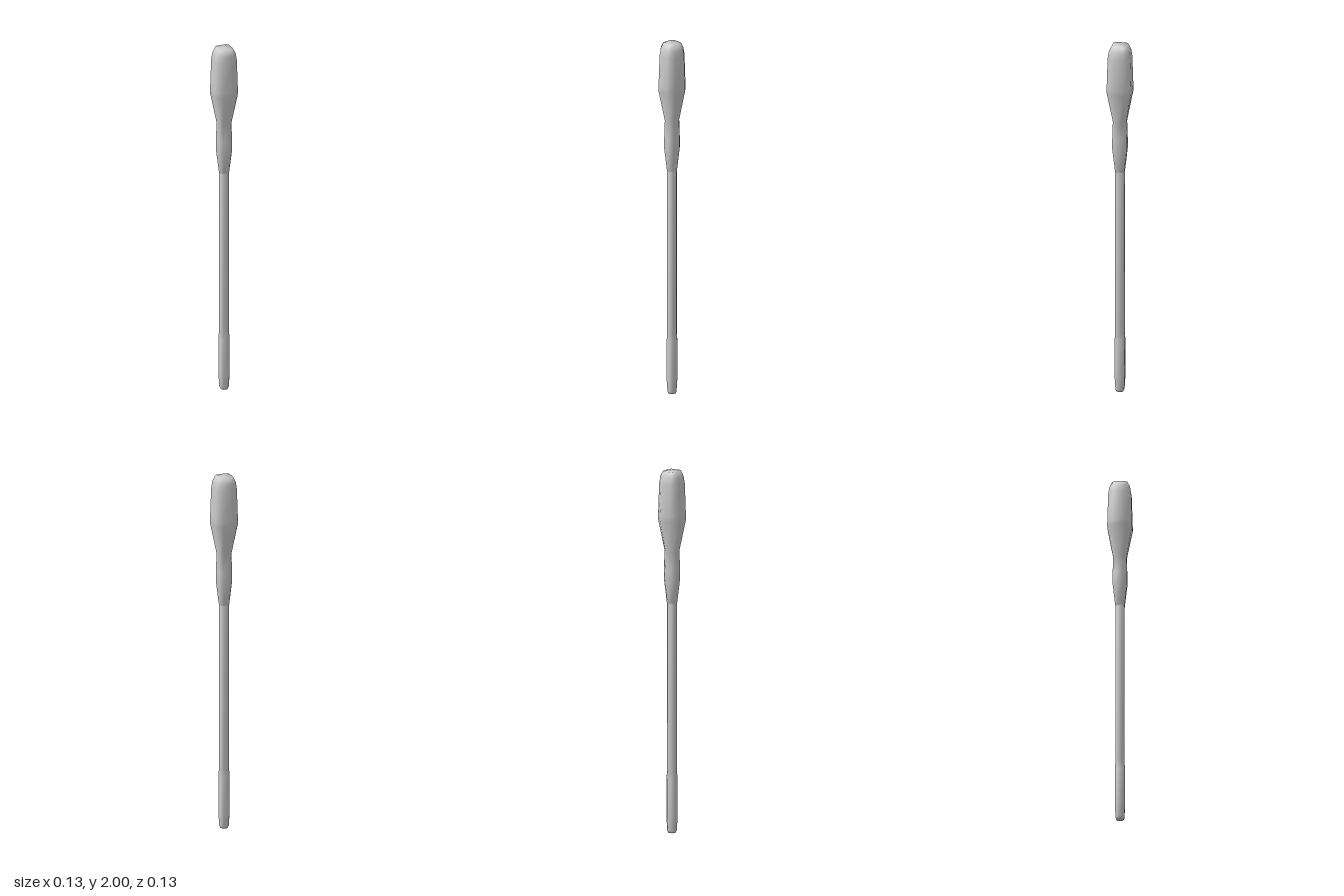
import * as THREE from 'three';

// Smooth loft of chamfered-square sections; each ring is [y, half width, chamfer start ratio]
function loft(name, rings) {
  const pos = [], index = [], n = 8;
  for (const [y, r, k] of rings) {
    const c = r * k;
    for (const [x, z] of [[r, c], [c, r], [-c, r], [-r, c], [-r, -c], [-c, -r], [c, -r], [r, -c]]) pos.push(x, y, z);
  }
  for (let i = 0; i < rings.length - 1; i++) {
    for (let j = 0; j < n; j++) {
      const a = i * n + j, b = i * n + (j + 1) % n;
      index.push(a, a + n, b, b, a + n, b + n);
    }
  }
  // End caps, fanned from a centre point
  const last = rings.length - 1, bottom = rings.length * n, top = bottom + 1;
  pos.push(0, rings[0][0], 0, 0, rings[last][0], 0);
  for (let j = 0; j < n; j++) {
    const k = (j + 1) % n;
    index.push(bottom, j, k, top, last * n + k, last * n + j);
  }
  const geo = new THREE.BufferGeometry();
  geo.setAttribute('position', new THREE.Float32BufferAttribute(pos, 3));
  geo.setIndex(index);
  geo.computeVertexNormals();
  const mesh = new THREE.Mesh(geo, new THREE.MeshStandardMaterial({ color: 0xcccccc }));
  mesh.name = name;
  return mesh;
}

export function createModel() {
  const group = new THREE.Group();
  group.name = 'screwdriver';

  // Long rod with a slightly thicker, rounded tip
  group.add(loft('shaft', [
    [0, 0.018, 0.5], [0.012, 0.023, 0.5], [0.08, 0.027, 0.5], [0.3, 0.027, 0.5],
    [0.34, 0.024, 0.5], [1.3, 0.024, 0.5],
  ]));

  // Grip with a flared collar, narrow neck and rounded end
  group.add(loft('handle', [
    [1.27, 0.025, 0.5], [1.4, 0.039, 0.5], [1.46, 0.039, 0.5], [1.56, 0.036, 0.5],
    [1.73, 0.067, 0.51], [1.76, 0.067, 0.51], [1.93, 0.062, 0.51],
    [1.97, 0.056, 0.53], [2, 0.041, 0.68],
  ]));
  return group;
}
